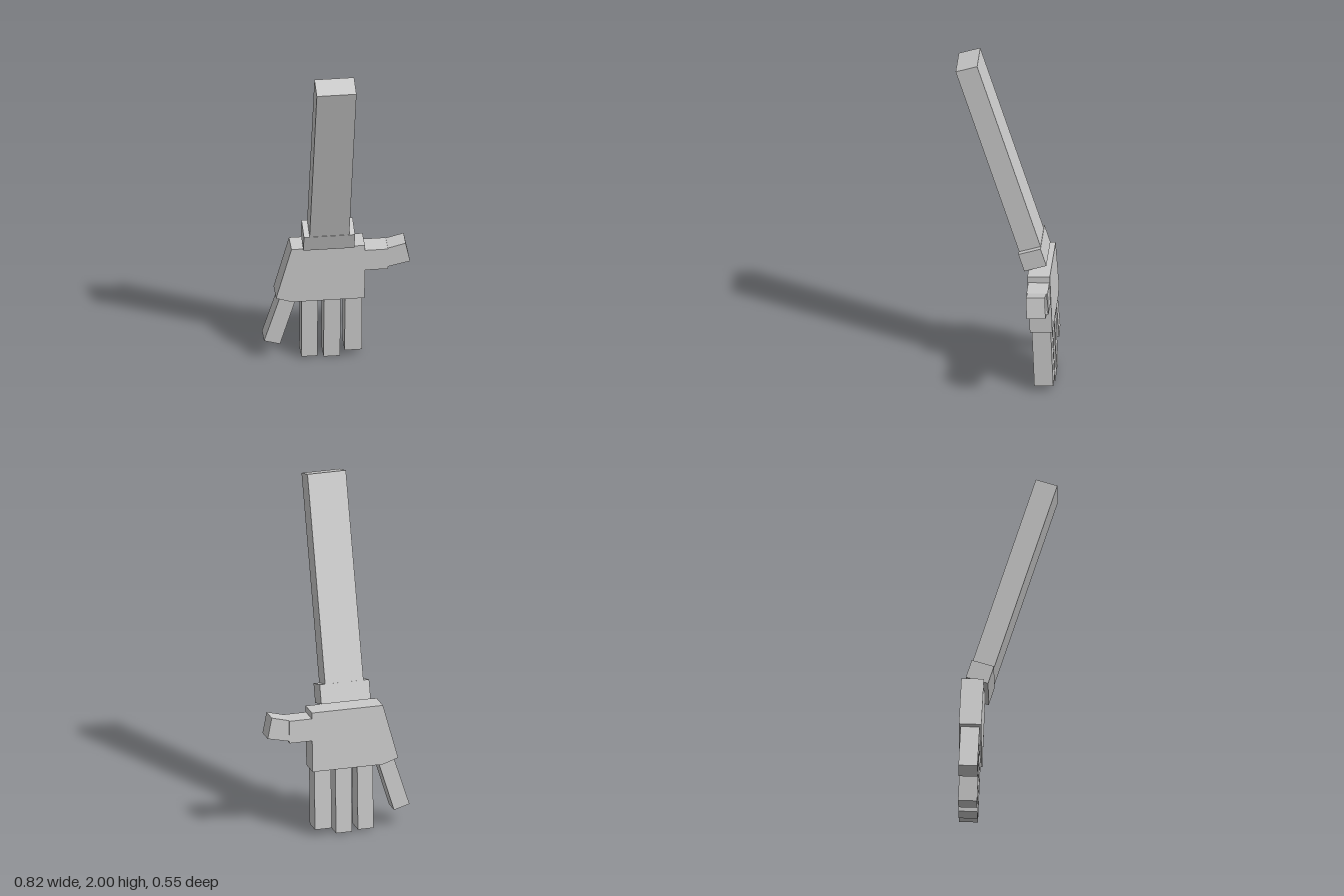
import * as THREE from 'three';

const material = new THREE.MeshStandardMaterial({ color: 0xcccccc, flatShading: true });

function addMesh(parent, name, geometry) {
  const mesh = new THREE.Mesh(geometry, material);
  mesh.name = name;
  parent.add(mesh);
  return mesh;
}

// Flat slab with the given front outline, centred on z = 0 of the hand
function addSlab(parent, name, outline, depth) {
  const shape = new THREE.Shape(outline.map(([x, y]) => new THREE.Vector2(x, y)));
  const geometry = new THREE.ExtrudeGeometry(shape, { depth, bevelEnabled: false });
  geometry.translate(0, 0, -depth / 2);
  return addMesh(parent, name, geometry);
}

export function createModel() {
  const model = new THREE.Group();
  model.name = 'arm';

  // Forearm and cuff share one axis leaning towards the front
  const sleeve = new THREE.Group();
  sleeve.name = 'sleeve';
  sleeve.position.set(-0.0525, 0.858, -0.137);
  sleeve.rotation.x = 0.306;
  model.add(sleeve);
  addMesh(sleeve, 'forearm', new THREE.BoxGeometry(0.223, 1.18, 0.126)).position.y = 0.59;
  addMesh(sleeve, 'cuff', new THREE.BoxGeometry(0.287, 0.11, 0.13)).position.y = -0.055;

  // Hand hangs almost vertically; its origin is at the knuckles
  const knuckleY = 0.384;
  const hand = new THREE.Group();
  hand.name = 'hand';
  hand.position.set(0, knuckleY, -0.2075);
  hand.rotation.x = 0.04;
  model.add(hand);

  addSlab(hand, 'palm', [
    [-0.345, 0.03], [-0.255, 0], [0.153, 0], [0.153, 0.35], [-0.26, 0.35],
  ], 0.126);

  // Three straight fingers: left edge, right edge, tip height
  const fingers = [
    ['ringFinger', -0.2, -0.109, 0.01],
    ['middleFinger', -0.075, 0.018, 0.002],
    ['indexFinger', 0.043, 0.14, 0.036],
  ];
  for (const [name, x0, x1, tip] of fingers) {
    const y = tip - knuckleY;
    addSlab(hand, name, [[x0, y], [x1, y], [x1, 0], [x0, 0]], 0.106);
  }

  // Little finger splays outwards
  addSlab(hand, 'littleFinger', [
    [-0.41, -0.255], [-0.32, -0.281], [-0.235, 0.004], [-0.322, 0.03],
  ], 0.106);

  // Thumb in two joints, the outer one bent upwards
  addSlab(hand, 'thumbBase', [
    [0.153, 0.183], [0.283, 0.183], [0.283, 0.314], [0.153, 0.314],
  ], 0.119);
  addSlab(hand, 'thumbTip', [
    [0.283, 0.193], [0.408, 0.221], [0.383, 0.342], [0.283, 0.316],
  ], 0.106);

  return model;
}
